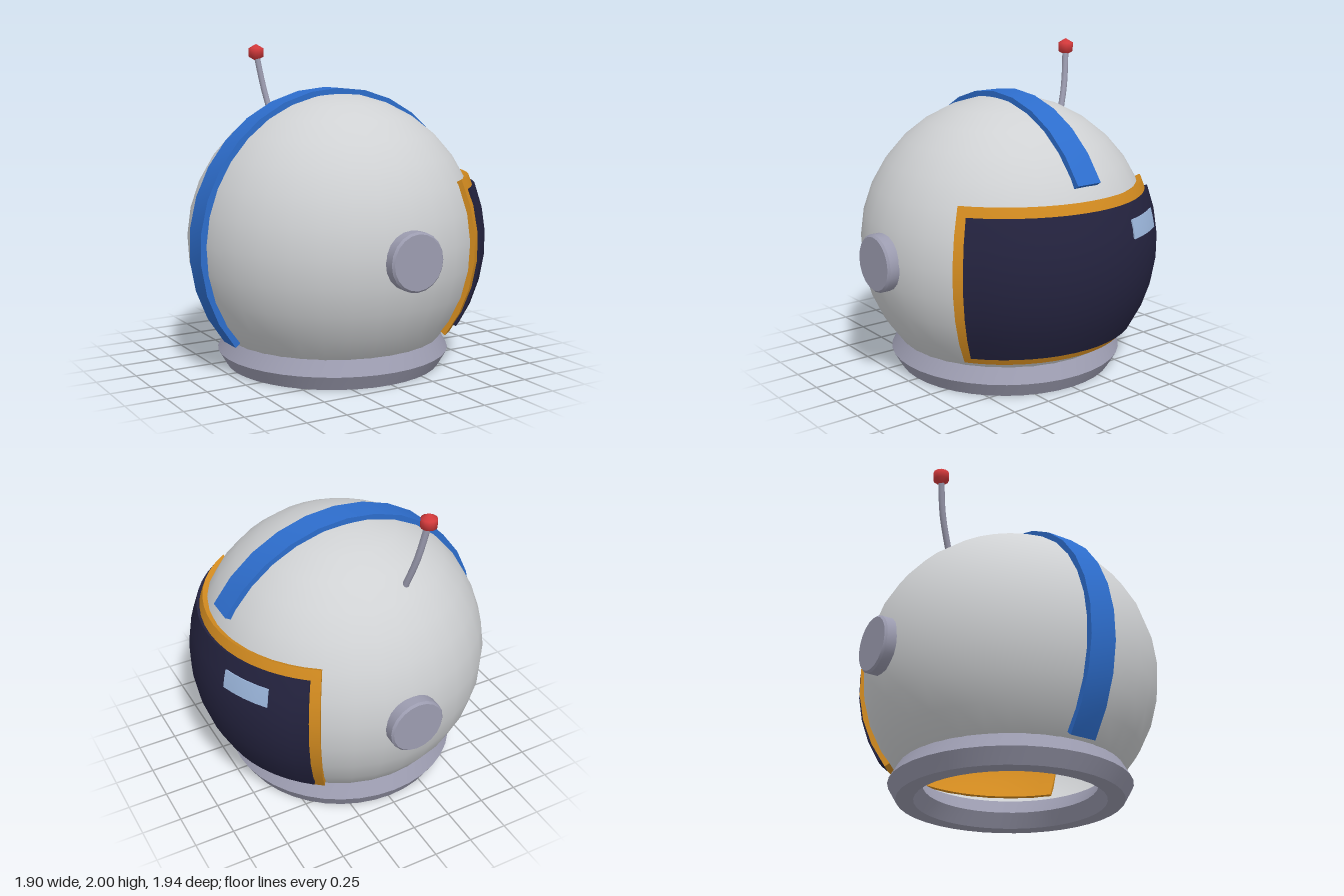
import * as THREE from 'three';
import { toCreasedNormals } from 'three/addons/utils/BufferGeometryUtils.js';

const CENTER = new THREE.Vector3(-0.01, 0.79, 0);
const RADIUS = 0.915;
const rad = THREE.MathUtils.degToRad;

function material(name, color, side = THREE.FrontSide) {
  const m = new THREE.MeshStandardMaterial({ color, side });
  m.name = name;
  return m;
}

// Bends a subdivided unit box: each corner (0..1 on every axis) goes through the rule
function bentBox(segY, segZ, rule) {
  const g = new THREE.BoxGeometry(1, 1, 1, 1, segY, segZ);
  const p = g.attributes.position;
  for (let i = 0; i < p.count; i++) {
    p.setXYZ(i, ...rule(p.getX(i) + 0.5, p.getY(i) + 0.5, p.getZ(i) + 0.5));
  }
  g.computeVertexNormals();
  return g;
}

// Thick patch of a sphere, bounded by latitude and heading in degrees
function spherePatch(r0, r1, lat0, lat1, head0, head1, segLat, segHead) {
  return bentBox(segLat, segHead, (x, y, z) => {
    const r = r0 + (r1 - r0) * x;
    const lat = rad(lat0 + (lat1 - lat0) * y);
    const head = rad(head0 + (head1 - head0) * z);
    return [r * Math.cos(lat) * Math.cos(head), r * Math.sin(lat), r * Math.cos(lat) * Math.sin(head)];
  });
}

export function createModel() {
  const model = new THREE.Group();
  model.name = 'spaceHelmet';

  const shellGrey = material('shell grey', 0xcfd1d3, THREE.DoubleSide);
  const metal = material('lavender metal', 0x9c9cb0);
  const gold = material('visor gold', 0xd48c20);
  const navy = material('visor navy', 0x24233f);
  const glintBlue = material('glint blue', 0x9db8de);
  const blue = material('stripe blue', 0x2d6dcc);
  const red = material('antenna red', 0xd63a3c);

  function add(name, geometry, mat, position = CENTER) {
    const mesh = new THREE.Mesh(geometry, mat);
    mesh.name = name;
    mesh.position.copy(position);
    model.add(mesh);
    return mesh;
  }

  // Hollow shell, open at the neck
  add('shell', new THREE.SphereGeometry(RADIUS, 32, 12, 0, Math.PI * 2, 0, rad(131.8)), shellGrey);

  // Six-sided neck ring
  const ring = new THREE.TorusGeometry(0.63, 0.105, 6, 40).rotateX(Math.PI / 2);
  add('neckRing', toCreasedNormals(ring, rad(35)), metal, new THREE.Vector3(CENTER.x, 0.091, 0));

  // Visor: frame, glass and highlight
  add('visorFrame', spherePatch(0.895, 0.945, -36.3, 25.7, -55, 55, 6, 16), gold);
  add('visorGlass', spherePatch(0.9, 0.96, -32.1, 21.7, -51, 51, 6, 16), navy);
  add('visorGlint', spherePatch(0.957, 0.966, 8.9, 15.9, -35.9, -16.1, 2, 4), glintBlue);

  // Stripe over the crown, running down the back
  const stripe = bentBox(16, 1, (x, y, z) => {
    const r = 0.9 + 0.045 * x;
    const a = rad(31.5 + 188.4 * y);
    return [r * Math.cos(a), r * Math.sin(a), (z - 0.5) * 0.17];
  });
  add('crownStripe', stripe, blue);

  // Ear caps on both sides
  const capProfile = [[0.175, 0.86], [0.175, 0.955], [0.163, 0.968], [0, 0.968]];
  const cap = toCreasedNormals(
    new THREE.LatheGeometry(capProfile.map(([x, y]) => new THREE.Vector2(x, y)), 20), rad(30));
  for (const side of [1, -1]) {
    const mesh = add(side > 0 ? 'frontEarCap' : 'backEarCap', cap, metal);
    mesh.rotation.x = side * Math.PI / 2;
  }

  // Antenna: curved rod with a ball at the tip
  const tip = new THREE.Vector3(-0.215, 1.945, -0.655);
  const rod = new THREE.CatmullRomCurve3([
    new THREE.Vector3(-0.14, 1.46, -0.54),
    new THREE.Vector3(-0.178, 1.7, -0.615),
    tip,
  ]);
  const origin = new THREE.Vector3();
  add('antennaRod', new THREE.TubeGeometry(rod, 8, 0.02, 8), metal, origin);
  add('antennaBall', new THREE.SphereGeometry(0.056, 12, 3), red, tip);

  return model;
}
